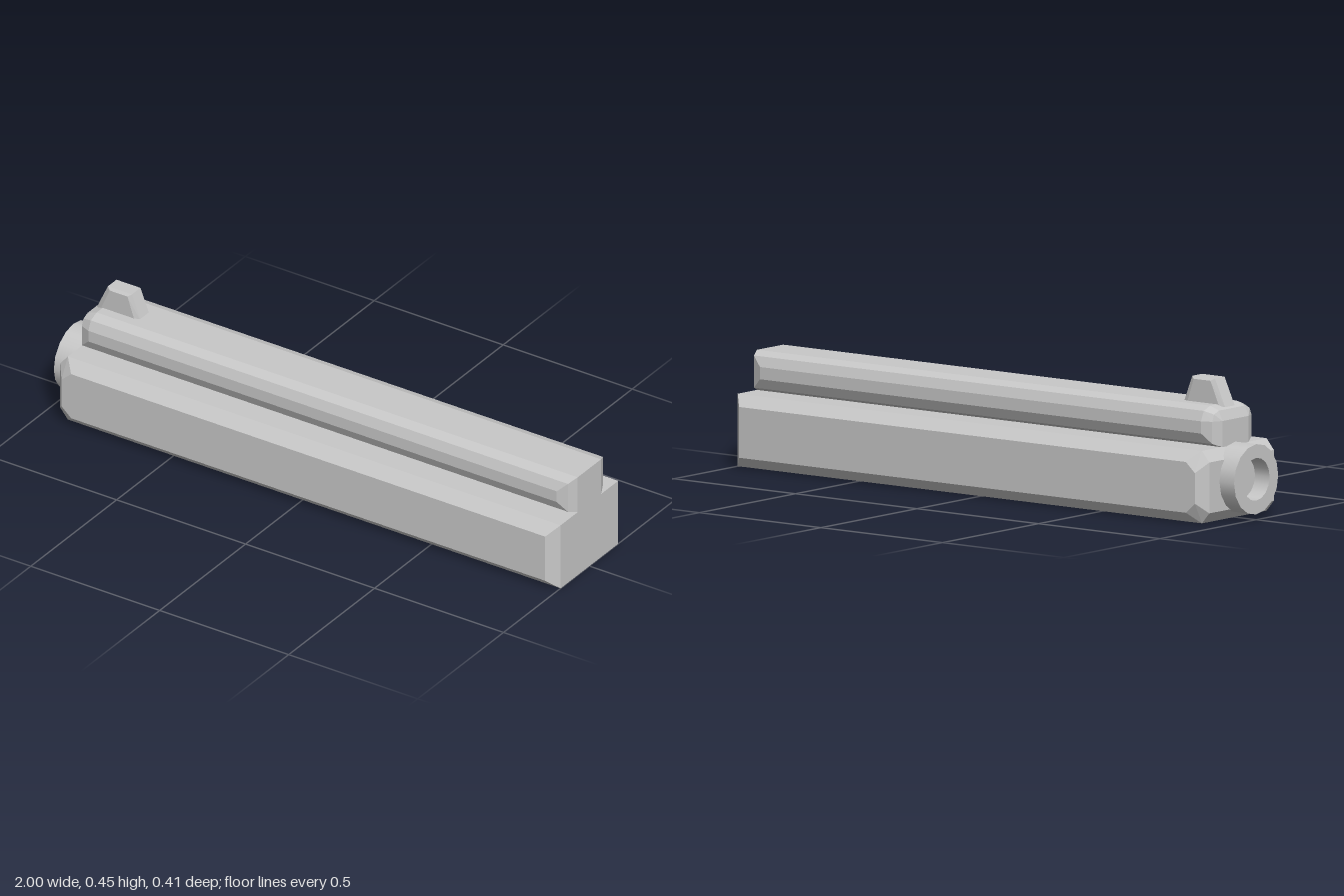
import * as THREE from 'three';
import { ConvexGeometry } from 'three/addons/geometries/ConvexGeometry.js';

const metal = new THREE.MeshStandardMaterial({ color: 0xc8c8c8 });
metal.name = 'light grey metal';

// Faceted solid from corner points [x, y, z], mirrored across z = 0
function bevelledSolid(name, corners) {
  const points = [];
  for (const [x, y, z] of corners) {
    for (const side of [-1, 1]) points.push(new THREE.Vector3(x, y, z * side));
  }
  const mesh = new THREE.Mesh(new ConvexGeometry(points), metal);
  mesh.name = name;
  return mesh;
}

// Main block: square tail end, nose bevelled on every edge
function createBody() {
  const corners = [];
  for (const s of [-1, 1]) {
    const at = (x, halfHeight, z) => corners.push([x, 0.1185 + s * halfHeight, z]);
    at(1, 0.1185, 0.168);
    at(0.965, 0.083, 0.205);
    at(-0.873, 0.083, 0.205);
    at(-0.91, 0.05, 0.205);
    at(-0.91, 0.1185, 0.168);
    at(-0.94, 0.083, 0.168);
  }
  return bevelledSolid('lowerBody', corners);
}

// Upper rail: both ends rounded in plan, nose also rounded over the top
function createRail() {
  const mid = 0.3025, corners = [];
  for (const s of [-1, 1]) {
    const at = (x, halfHeight, z) => corners.push([x, mid + s * halfHeight, z]);
    at(1, 0.0655, 0.068);
    at(0.985, 0.0525, 0.102);
    at(0.95, 0.02, 0.116);
    at(-0.865, 0.0655, 0.068);
    at(-0.865, 0.0525, 0.102);
    at(-0.865, 0.02, 0.116);
  }
  // Nose corners: upper edge, then the straight lower edge
  corners.push(
    [-0.9, 0.355, 0.068], [-0.9, 0.345, 0.092], [-0.9, 0.3225, 0.102],
    [-0.915, 0.3225, 0.068],
    [-0.9, 0.25, 0.102], [-0.915, 0.237, 0.068],
  );
  return bevelledSolid('upperRail', corners);
}

// Nose tube: short ring with a blind bore
function createMuzzle() {
  const group = new THREE.Group();
  group.name = 'muzzle';
  const sections = {
    muzzleOuterWall: [[0.115, 0], [0.115, 0.1]],
    muzzleRim: [[0.115, 0.1], [0.07, 0.1]],
    muzzleBore: [[0.07, 0.1], [0.07, 0.035]],
    boreFloor: [[0.07, 0.035], [0, 0.035]],
  };
  for (const [name, profile] of Object.entries(sections)) {
    const points = profile.map(([r, y]) => new THREE.Vector2(r, y));
    const mesh = new THREE.Mesh(new THREE.LatheGeometry(points, 16), metal);
    mesh.name = name;
    group.add(mesh);
  }
  group.rotation.z = Math.PI / 2;
  group.position.set(-0.9, 0.132, 0);
  return group;
}

// Small tapered sight with bevelled edges
function createSight() {
  return bevelledSolid('frontSight', [
    [-0.892, 0.36, 0.025], [-0.85, 0.45, 0.025], [-0.757, 0.45, 0.025], [-0.722, 0.36, 0.025],
    [-0.874, 0.36, 0.033], [-0.838, 0.442, 0.033], [-0.769, 0.442, 0.033], [-0.741, 0.36, 0.033],
  ]);
}

export function createModel() {
  const model = new THREE.Group();
  model.name = 'slideAssembly';
  model.add(createBody(), createRail(), createMuzzle(), createSight());
  return model;
}
